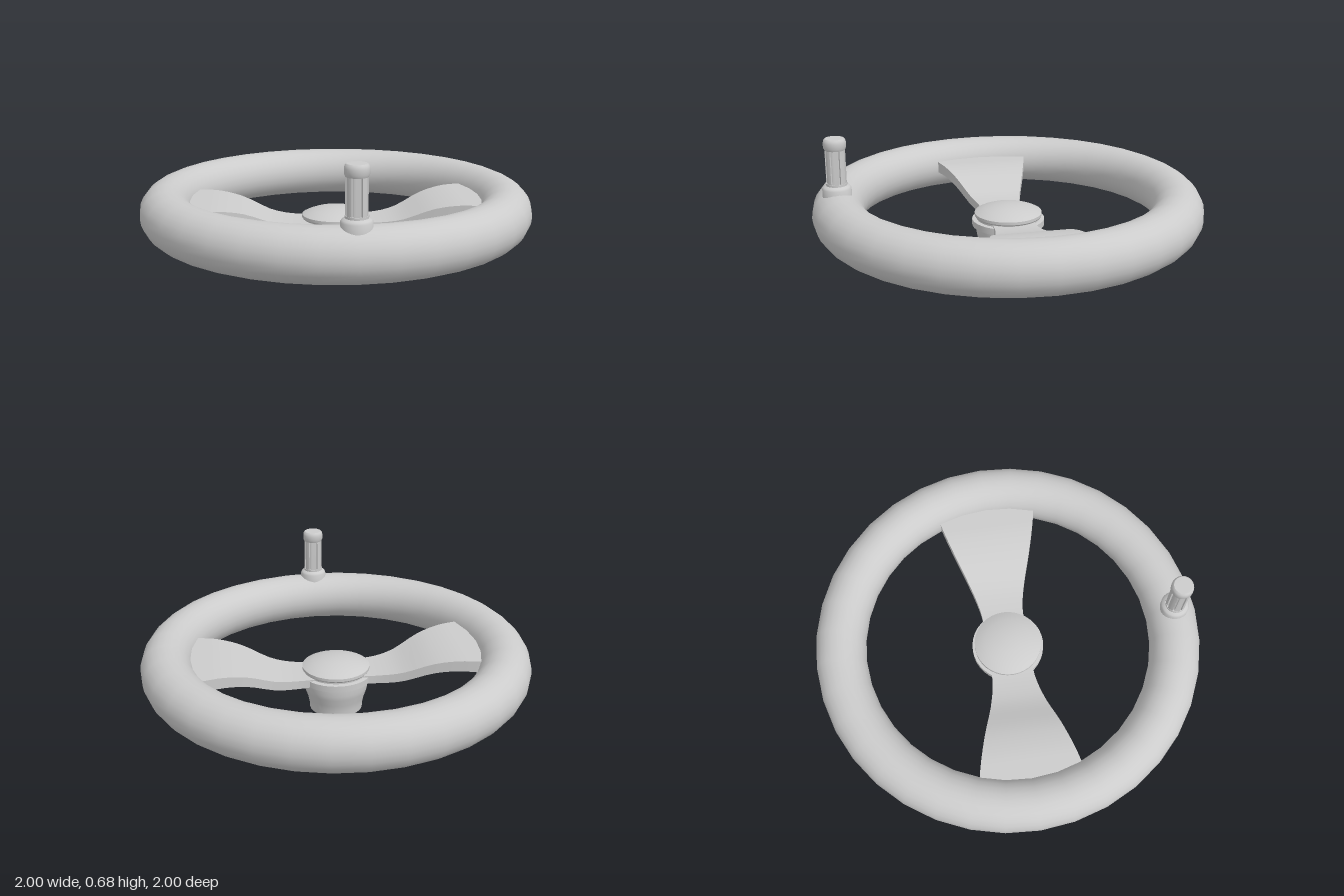
import * as THREE from 'three';
import { toCreasedNormals } from 'three/addons/utils/BufferGeometryUtils.js';

const material = new THREE.MeshStandardMaterial({ color: 0xcccccc });

function addPart(parent, name, geometry) {
  const mesh = new THREE.Mesh(geometry, material);
  mesh.name = name;
  parent.add(mesh);
  return mesh;
}

// Turned part from [radius, height] pairs, listed bottom to top
function turned(profile, segments) {
  const points = profile.map(([r, y]) => new THREE.Vector2(r, y));
  return toCreasedNormals(new THREE.LatheGeometry(points, segments), 0.6);
}

// Curved spoke: a bar whose width and height follow the distance from the hub
function spokeGeometry() {
  const curve = (a) => new THREE.CatmullRomCurve3(a.map((p) => new THREE.Vector3(...p)));
  // x, top height, half width
  const top = curve([[0.1, 0.212, 0.108], [0.2, 0.212, 0.113], [0.32, 0.23, 0.14],
    [0.48, 0.296, 0.194], [0.6, 0.32, 0.23], [0.7, 0.322, 0.255], [0.79, 0.322, 0.27]]);
  const geometry = new THREE.BoxGeometry(1, 1, 1, 20, 1, 1);
  const pos = geometry.attributes.position;
  for (let i = 0; i < pos.count; i++) {
    const t = pos.getX(i) + 0.5;
    const p = top.getPoint(t);
    const thickness = 0.04 + 0.025 * t;
    pos.setXYZ(i, p.x, p.y - (0.5 - pos.getY(i)) * thickness, Math.sign(pos.getZ(i)) * p.z);
  }
  return toCreasedNormals(geometry, 0.6);
}

// Grip with evenly spaced lengthwise grooves
function flutedGrip(radius, depth, height, flutes) {
  const shape = new THREE.Shape();
  const step = (Math.PI * 2) / flutes;
  const corners = [[-0.5, 0], [-0.25, 0], [0, 0], [0.25, 0], [0.27, depth], [0.48, depth]];
  for (let i = 0; i < flutes; i++) {
    corners.forEach(([f, d], j) => {
      const a = (i + f * 0.98) * step;
      const x = Math.cos(a) * (radius - d), y = Math.sin(a) * (radius - d);
      if (i + j === 0) shape.moveTo(x, y);
      else shape.lineTo(x, y);
    });
  }
  const geometry = new THREE.ExtrudeGeometry(shape, { depth: height, bevelEnabled: false });
  geometry.rotateX(-Math.PI / 2);
  return toCreasedNormals(geometry, 0.6);
}

export function createModel() {
  const wheel = new THREE.Group();
  wheel.name = 'handwheel';

  // Rim
  const rim = new THREE.TorusGeometry(0.87, 0.13, 24, 36);
  rim.rotateX(Math.PI / 2);
  addPart(wheel, 'rim', rim).position.y = 0.28;

  // Hub with flange
  addPart(wheel, 'hub', turned([
    [0, 0], [0.138, 0], [0.14, 0.03], [0.147, 0.065], [0.161, 0.105], [0.166, 0.13],
    [0.167, 0.165], [0.188, 0.17], [0.188, 0.203], [0.165, 0.205], [0.165, 0.22], [0, 0.22],
  ], 36));

  // Domed hub cap
  addPart(wheel, 'hubCap', turned([
    [0, 0.215], [0.17, 0.215], [0.175, 0.222], [0.175, 0.237],
    [0.155, 0.247], [0.12, 0.26], [0.07, 0.271], [0, 0.277],
  ], 36));

  // Two opposite spokes
  const spoke = spokeGeometry();
  addPart(wheel, 'leftSpoke', spoke);
  addPart(wheel, 'rightSpoke', spoke).rotation.y = Math.PI;

  // Crank handle on the front of the rim
  const handle = new THREE.Group();
  handle.name = 'crankHandle';
  handle.position.z = 0.87;
  wheel.add(handle);
  addPart(handle, 'handleBase', turned([
    [0, 0.36], [0.072, 0.36], [0.072, 0.428], [0.066, 0.438], [0.052, 0.445], [0.052, 0.456], [0, 0.456],
  ], 28));
  addPart(handle, 'handleGrip', flutedGrip(0.05, 0.009, 0.18, 8)).position.y = 0.45;
  addPart(handle, 'handleCap', turned([
    [0, 0.625], [0.05, 0.625], [0.056, 0.638], [0.056, 0.662], [0.053, 0.675], [0.046, 0.682], [0, 0.683],
  ], 28));

  return wheel;
}
